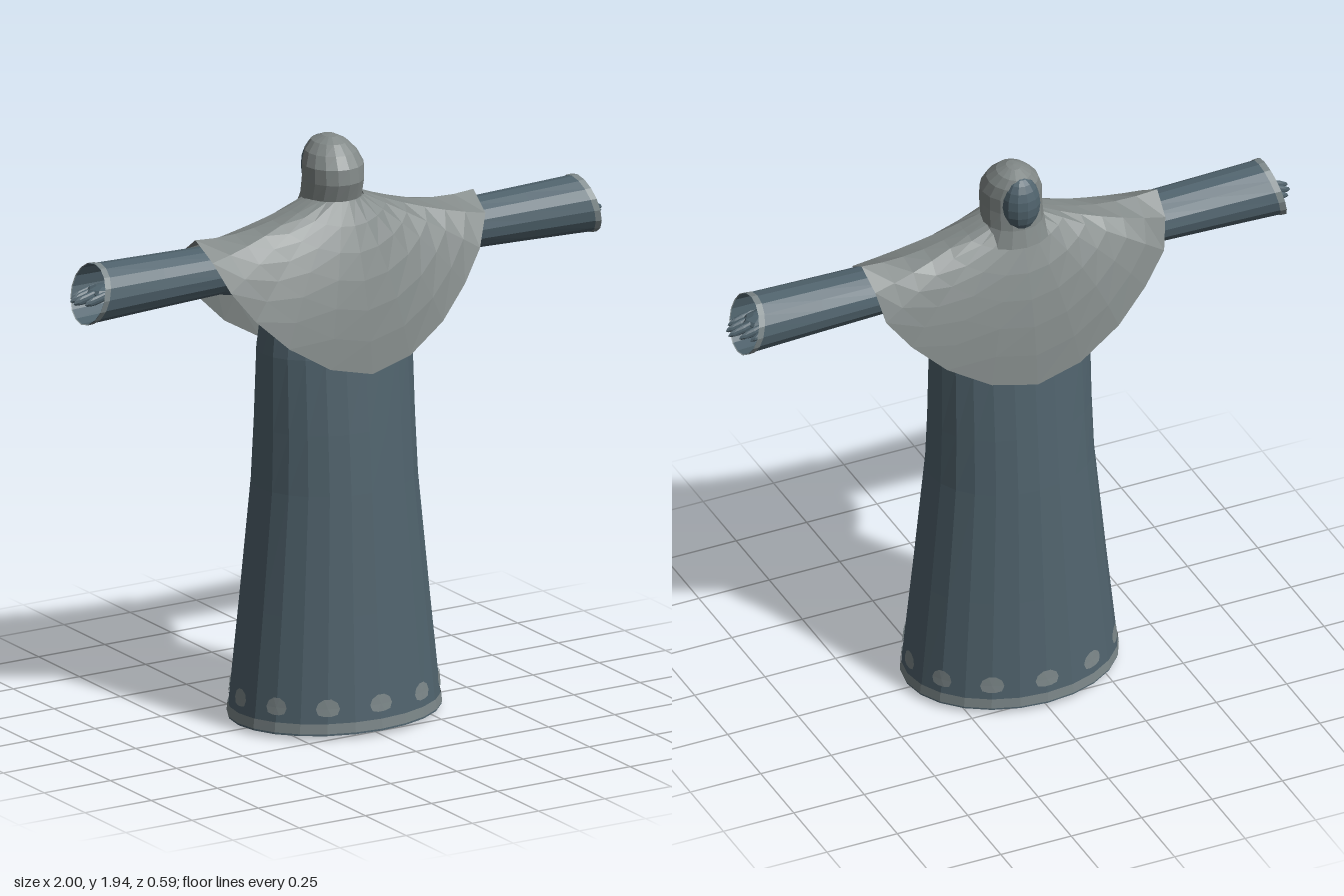
import * as THREE from 'three';

const mat = (name, color) => {
  const m = new THREE.MeshStandardMaterial({ color, side: THREE.DoubleSide, flatShading: true });
  m.name = name;
  return m;
};

// Skin a list of closed rings (each an array of [x, y, z])
function loft(rings) {
  const n = rings[0].length, index = [];
  for (let i = 0; i < rings.length - 1; i++) {
    for (let j = 0; j < n; j++) {
      const a = i * n + j, b = i * n + (j + 1) % n;
      index.push(a, a + n, b, b, a + n, b + n);
    }
  }
  const g = new THREE.BufferGeometry();
  g.setAttribute('position', new THREE.Float32BufferAttribute(rings.flat(2), 3));
  g.setIndex(index);
  g.computeVertexNormals();
  return g;
}

// Horizontal ellipse spanning zBack..zFront
const ring = (y, rx, zFront, zBack, n = 24) => Array.from({ length: n }, (_, j) => {
  const t = j / n * Math.PI * 2;
  return [rx * Math.cos(t), y, (zFront + zBack) / 2 + (zFront - zBack) / 2 * Math.sin(t)];
});

// Robe half widths by height: y, x, z
const ROBE = [[0.015, 0.363, 0.292], [0.4, 0.322, 0.262], [0.8, 0.282, 0.232], [1.0, 0.275, 0.215],
  [1.25, 0.272, 0.192], [1.45, 0.25, 0.16], [1.6, 0.19, 0.11], [1.7, 0.08, 0.06]];

function robeAt(y) {
  let i = 0;
  while (i < ROBE.length - 2 && y > ROBE[i + 1][0]) i++;
  const [y0, x0, z0] = ROBE[i], [y1, x1, z1] = ROBE[i + 1], t = (y - y0) / (y1 - y0);
  return [x0 + (x1 - x0) * t, z0 + (z1 - z0) * t];
}

// Rounded patch that hugs the robe at angle a
function hemSpot(a) {
  const g = new THREE.CircleGeometry(1, 10), p = g.attributes.position;
  for (let i = 0; i < p.count; i++) {
    const y = 0.104 + Math.max(p.getY(i), -0.75) * 0.033;
    const [rx, rz] = robeAt(y), t = a - p.getX(i) * 0.115;
    p.setXYZ(i, (rx + 0.003) * Math.cos(t), y, (rz + 0.003) * Math.sin(t));
  }
  g.computeVertexNormals();
  return g;
}

// Cape quarter, side to middle: bend point, then hem point
const CAPE = [
  [[0.30, 1.65, 0], [0.525, 1.675, 0]],
  [[0.30, 1.655, 0.07], [0.515, 1.62, 0.09]],
  [[0.30, 1.63, 0.11], [0.47, 1.52, 0.13]],
  [[0.26, 1.60, 0.14], [0.395, 1.42, 0.16]],
  [[0.20, 1.57, 0.17], [0.29, 1.32, 0.195]],
  [[0.10, 1.54, 0.20], [0.15, 1.235, 0.222]],
  [[0, 1.53, 0.21], [0, 1.2, 0.235]],
];

function capeGeometry() {
  const rings = [];
  for (let r = 0; r <= 6; r++) {
    const t = 1 - r / 6, row = [];
    for (let j = 0; j < 24; j++) {
      const k = j % 12 <= 6 ? j % 12 : 12 - j % 12;
      const sx = j <= 6 || j > 18 ? 1 : -1, sz = j <= 12 ? 1 : -0.92;
      const wide = j > 12 && k > 1 ? 1.05 : 1;
      const a = k * Math.PI / 12, neck = [0.095 * Math.cos(a), 1.745, 0.09 * Math.sin(a)];
      const [bend, hem] = CAPE[k];
      const p = neck.map((v, i) => v * (1 - t) ** 2 + 2 * bend[i] * t * (1 - t) + hem[i] * t * t);
      row.push([p[0] * sx * wide, p[1], p[2] * sz]);
    }
    rings.push(row);
  }
  return loft(rings);
}

// Sleeve cross-section facing +x; slant leans the lower edge outward
const sleeveRing = (x, top, bottom, rz, slant, z) => Array.from({ length: 16 }, (_, j) => {
  const t = j / 16 * Math.PI * 2, c = Math.cos(t);
  return [x - slant * c, (top + bottom) / 2 + (top - bottom) / 2 * c, z - rz * Math.sin(t)];
});

export function createModel() {
  const model = new THREE.Group();
  const cloth = mat('slate cloth', 0x50636d);
  const capeGrey = mat('cape grey', 0x828988);
  const trim = mat('trim grey', 0x7c8789);

  const add = (parent, name, geometry, material) => {
    const m = new THREE.Mesh(geometry, material);
    m.name = name;
    parent.add(m);
    return m;
  };

  // Robe with hem band and a row of spots
  add(model, 'robe', loft(ROBE.map(([y, x, z]) => ring(y, x, z, -z))), cloth);
  add(model, 'hemBand', loft([0.022, 0.055].map(y => {
    const [x, z] = robeAt(y);
    return ring(y, x + 0.003, z + 0.003, -z - 0.003);
  })), trim);
  for (let i = 0; i < 12; i++) add(model, 'hemSpot', hemSpot(i * Math.PI / 6), trim);

  // Legs under the robe
  for (const s of [1, -1]) {
    add(model, 'leg', new THREE.CylinderGeometry(0.075, 0.068, 0.6, 10), cloth).position.set(s * 0.115, 0.3, 0.005);
  }

  // Cape
  add(model, 'cape', capeGeometry(), capeGrey);

  // Hood and the covered face, which looks towards -z
  add(model, 'hood', loft([
    ring(1.68, 0.13, 0.10, -0.135, 16), ring(1.74, 0.102, 0.078, -0.12, 16),
    ring(1.80, 0.1, 0.098, -0.115, 16), ring(1.85, 0.1, 0.093, -0.112, 16),
    ring(1.89, 0.083, 0.068, -0.112, 16), ring(1.92, 0.055, 0.035, -0.1, 16),
    ring(1.937, 0.022, 0, -0.06, 16), ring(1.94, 0, -0.03, -0.03, 16),
  ]), capeGrey);
  const face = add(model, 'face', new THREE.SphereGeometry(1, 12, 10), cloth);
  face.scale.set(0.066, 0.1, 0.06);
  face.position.set(0, 1.825, -0.083);

  // Arms: flared sleeve, cuff trim and a hand
  for (const s of [1, -1]) {
    const arm = new THREE.Group(), z = s * 0.01;
    arm.name = s > 0 ? 'leftArm' : 'rightArm';
    arm.rotation.y = s > 0 ? 0 : Math.PI;
    model.add(arm);
    add(arm, 'sleeve', loft([
      sleeveRing(0.15, 1.64, 1.33, 0.1, 0, z), sleeveRing(0.28, 1.64, 1.40, 0.092, 0, z),
      sleeveRing(0.36, 1.642, 1.465, 0.09, 0, z), sleeveRing(0.46, 1.648, 1.487, 0.09, 0, z),
      sleeveRing(0.7, 1.654, 1.478, 0.093, 0.01, z), sleeveRing(0.935, 1.66, 1.468, 0.097, 0.025, z),
    ]), cloth);
    add(arm, 'cuff', loft([
      sleeveRing(0.915, 1.662, 1.466, 0.099, 0.025, z), sleeveRing(0.937, 1.663, 1.465, 0.1, 0.025, z),
    ]), trim);
    add(arm, 'wrist', new THREE.CylinderGeometry(0.03, 0.04, 0.3, 8).rotateZ(-Math.PI / 2), cloth).position.set(0.7, 1.575, z);
    const palm = add(arm, 'palm', new THREE.SphereGeometry(1, 8, 6), cloth);
    palm.scale.set(0.07, 0.022, 0.05);
    palm.position.set(0.87, 1.567, z);
    [0.975, 1.0, 0.995, 0.975].forEach((tip, i) => {
      const finger = add(arm, 'finger', new THREE.SphereGeometry(1, 8, 6), cloth);
      finger.scale.set(0.055, 0.016, 0.01);
      finger.rotation.z = -0.25;
      finger.position.set(tip - 0.053, 1.557, z + (i - 1.5) * 0.029);
    });
    const thumb = add(arm, 'thumb', new THREE.SphereGeometry(1, 8, 6), cloth);
    thumb.scale.set(0.045, 0.013, 0.012);
    thumb.rotation.z = -0.35;
    thumb.position.set(0.9, 1.55, z - s * 0.058);
  }
  return model;
}
